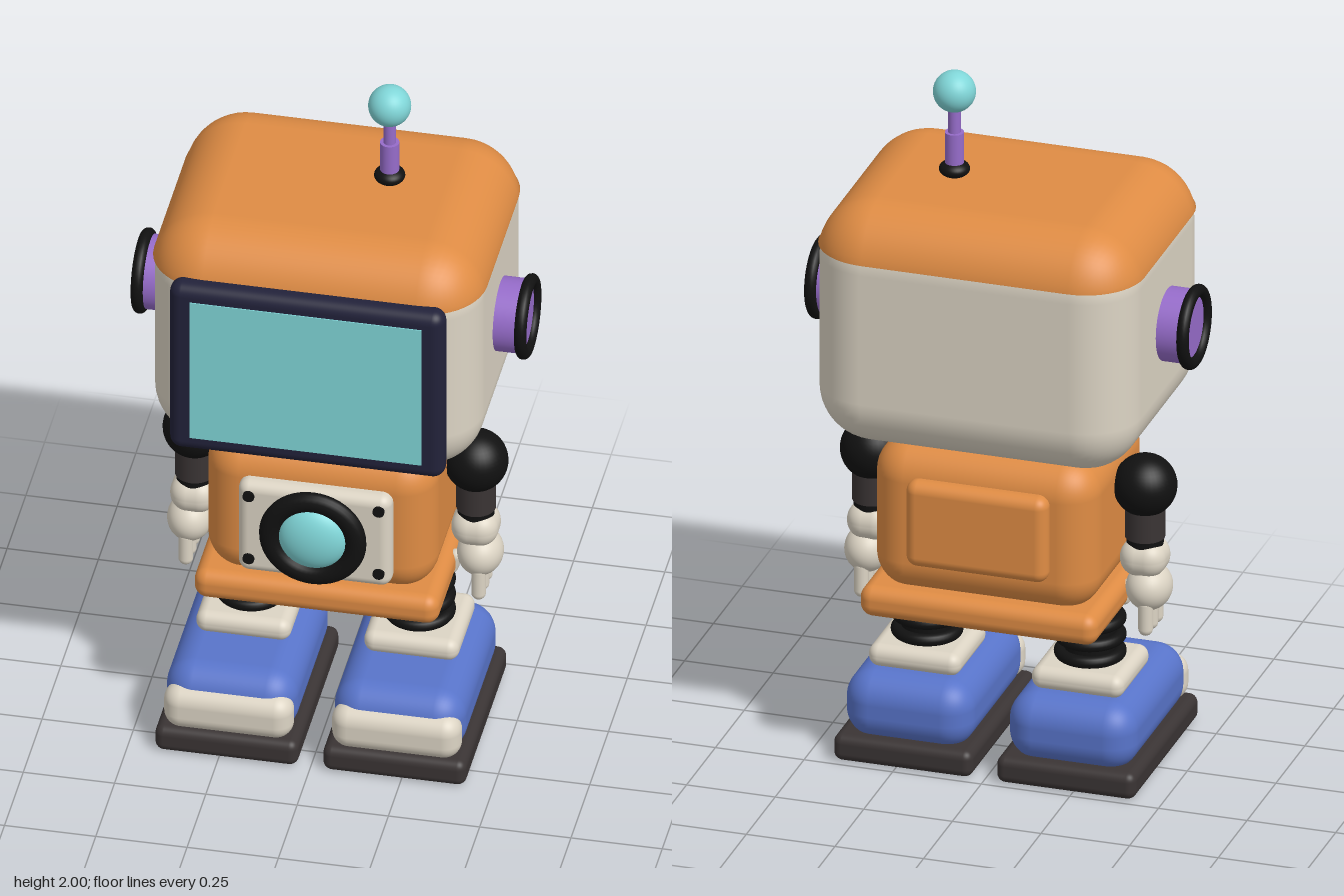
import * as THREE from 'three';
import { RoundedBoxGeometry } from 'three/addons/geometries/RoundedBoxGeometry.js';

const mat = (name, color) => {
  const m = new THREE.MeshStandardMaterial({ color });
  m.name = name;
  return m;
};

export function createModel() {
  const orange = mat('orange', 0xdf8c44), cream = mat('cream', 0xdcd4c4), blue = mat('blue', 0x5874ca);
  const purple = mat('purple', 0x966cca), teal = mat('teal', 0x80d6d8), navy = mat('navy', 0x22223a);
  const black = mat('black', 0x111111), charcoal = mat('charcoal', 0x3a3434);
  const robot = new THREE.Group();
  robot.name = 'robot';

  const add = (parent, name, geometry, material, x, y, z) => {
    const mesh = new THREE.Mesh(geometry, material);
    mesh.name = name;
    mesh.position.set(x, y, z);
    parent.add(mesh);
    return mesh;
  };
  const group = (name, x = 0, y = 0, z = 0) => {
    const g = new THREE.Group();
    g.name = name;
    g.position.set(x, y, z);
    robot.add(g);
    return g;
  };
  // Rounded box given by its limits on each axis
  const box = (parent, name, material, [x0, x1], [y0, y1], [z0, z1], r) =>
    add(parent, name, new RoundedBoxGeometry(x1 - x0, y1 - y0, z1 - z0, 6, r), material,
      (x0 + x1) / 2, (y0 + y1) / 2, (z0 + z1) / 2);
  const cyl = (rTop, rBottom, h) => new THREE.CylinderGeometry(rTop, rBottom, h, 40);
  const ball = (r) => new THREE.SphereGeometry(r, 36, 24);
  const ring = (r, tube) => new THREE.TorusGeometry(r, tube, 16, 48);

  // Head shell with a slightly larger cap, flattened at its lower rim
  const head = group('head');
  box(head, 'headShell', cream, [-0.45, 0.45], [0.99, 1.682], [-0.4, 0.345], 0.155);
  const cap = box(head, 'headCap', orange, [-0.456, 0.456], [1.1, 1.69], [-0.402, 0.35], 0.165);
  const p = cap.geometry.attributes.position, n = cap.geometry.attributes.normal;
  const rim = 1.557 - cap.position.y;
  for (let i = 0; i < p.count; i++) {
    if (p.getY(i) >= rim) continue;
    p.setY(i, rim);
    if (n.getY(i) < -0.01) n.setXYZ(i, 0, -1, 0);
  }

  // Screen
  box(head, 'screenFrame', navy, [-0.377, 0.377], [1.04, 1.58], [0.315, 0.388], 0.034);
  add(head, 'screen', new THREE.BoxGeometry(0.635, 0.445, 0.008), teal, 0, 1.312, 0.387);

  // Ears
  for (const s of [-1, 1]) {
    const ear = group(s > 0 ? 'leftEar' : 'rightEar', s * 0.44, 1.325, -0.018);
    add(ear, 'earDrum', cyl(0.102, 0.102, 0.17), purple, 0, 0, 0).rotation.z = Math.PI / 2;
    add(ear, 'earRing', ring(0.1, 0.017), black, s * 0.085, 0, 0).rotation.y = Math.PI / 2;
  }

  // Antenna
  const antenna = group('antenna', 0.14, 0, -0.052);
  add(antenna, 'antennaBase', ball(0.042), black, 0, 1.714, 0).scale.y = 0.56;
  add(antenna, 'antennaLower', cyl(0.026, 0.026, 0.11), purple, 0, 1.767, 0);
  add(antenna, 'antennaUpper', cyl(0.017, 0.017, 0.1), purple, 0, 1.86, 0);
  add(antenna, 'antennaBall', ball(0.058), teal, 0, 1.942, 0);

  // Body
  const body = group('body');
  add(body, 'neck', cyl(0.11, 0.11, 0.08), black, 0, 0.975, -0.02);
  box(body, 'torso', orange, [-0.315, 0.315], [0.53, 0.967], [-0.27, 0.24], 0.1);
  box(body, 'pelvis', orange, [-0.335, 0.335], [0.463, 0.552], [-0.295, 0.265], 0.036);
  box(body, 'backPanel', orange, [-0.2, 0.2], [0.637, 0.888], [-0.31, -0.24], 0.032);

  // Chest plate with screws and a domed lens
  box(body, 'chestPlate', cream, [-0.21, 0.21], [0.585, 0.878], [0.21, 0.28], 0.03);
  for (const x of [-0.178, 0.178]) for (const y of [0.635, 0.84]) {
    add(body, 'screw', cyl(0.016, 0.016, 0.012), black, x, y, 0.28).rotation.x = Math.PI / 2;
  }
  add(body, 'lensRing', ring(0.118, 0.029), black, 0, 0.735, 0.292).scale.z = 0.8;
  add(body, 'lens', ball(0.096), teal, 0, 0.735, 0.285).scale.z = 0.52;

  for (const s of [-1, 1]) {
    const side = s > 0 ? 'left' : 'right';

    // Arm
    const arm = group(side + 'Arm', s * 0.385, 0, -0.012);
    add(arm, 'shoulder', ball(0.087), black, 0, 0.836, 0);
    add(arm, 'upperArm', cyl(0.054, 0.054, 0.1), charcoal, 0, 0.735, 0);
    add(arm, 'elbow', cyl(0.05, 0.05, 0.04), black, 0, 0.68, 0);
    box(arm, 'forearm', cream, [-0.064, 0.064], [0.575, 0.68], [-0.064, 0.064], 0.05);
    add(arm, 'hand', ball(0.066), cream, s * 0.012, 0.54, 0).scale.set(0.95, 1, 1.12);
    for (const z of [-0.045, 0, 0.045]) {
      add(arm, 'finger', new THREE.CapsuleGeometry(0.02, 0.07, 8, 16), cream, s * 0.016, 0.468, z);
    }
    const thumb = add(arm, 'thumb', new THREE.CapsuleGeometry(0.019, 0.04, 8, 16), cream, -s * 0.058, 0.505, 0.015);
    thumb.rotation.z = -s * 0.35;

    // Bellows leg
    const leg = group(side + 'Leg', s * 0.23, 0, -0.012);
    add(leg, 'hip', cyl(0.085, 0.065, 0.06), black, -s * 0.03, 0.445, 0);
    add(leg, 'legCore', cyl(0.07, 0.07, 0.16), black, 0, 0.37, 0);
    for (const y of [0.325, 0.374, 0.424]) {
      add(leg, 'legRing', ring(0.081, 0.017), black, 0, y, 0).rotation.x = Math.PI / 2;
    }
    box(leg, 'ankle', cream, [-0.13, 0.13], [0.245, 0.31], [-0.13, 0.13], 0.03);

    // Shoe
    const shoe = group(side + 'Shoe', s * 0.23);
    box(shoe, 'shoeUpper', blue, [-0.18, 0.18], [0.055, 0.25], [-0.222, 0.31], 0.08);
    box(shoe, 'toeCap', cream, [-0.177, 0.177], [0.07, 0.2], [0.237, 0.335], 0.048);
    box(shoe, 'sole', charcoal, [-0.196, 0.196], [0, 0.077], [-0.236, 0.336], 0.025);
  }
  return robot;
}
